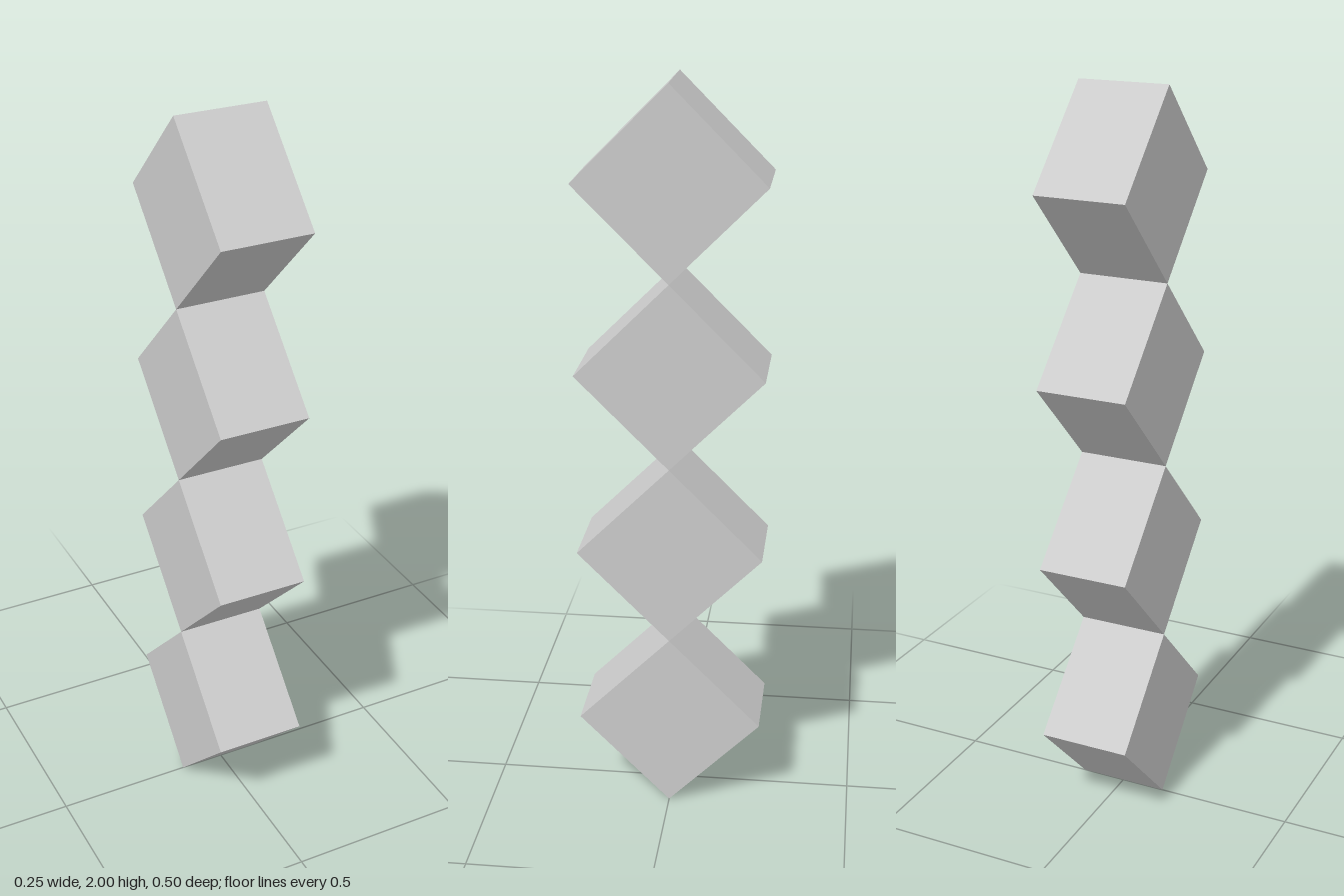
import * as THREE from 'three';

// Column of four square blocks, each standing on its edge
export function createModel() {
  const model = new THREE.Group();
  model.name = 'diamondColumn';

  const count = 4;
  const diagonal = 2 / count;
  const side = diagonal / Math.SQRT2;
  const width = 0.25;

  const material = new THREE.MeshStandardMaterial({ color: 0xcccccc, flatShading: true });
  const geometry = new THREE.BoxGeometry(width, side, side);
  geometry.rotateX(Math.PI / 4);

  // Blocks meet edge to edge
  for (let i = 0; i < count; i++) {
    const block = new THREE.Mesh(geometry, material);
    block.name = `diamondBlock${i + 1}`;
    block.position.y = (i + 0.5) * diagonal;
    model.add(block);
  }
  return model;
}
